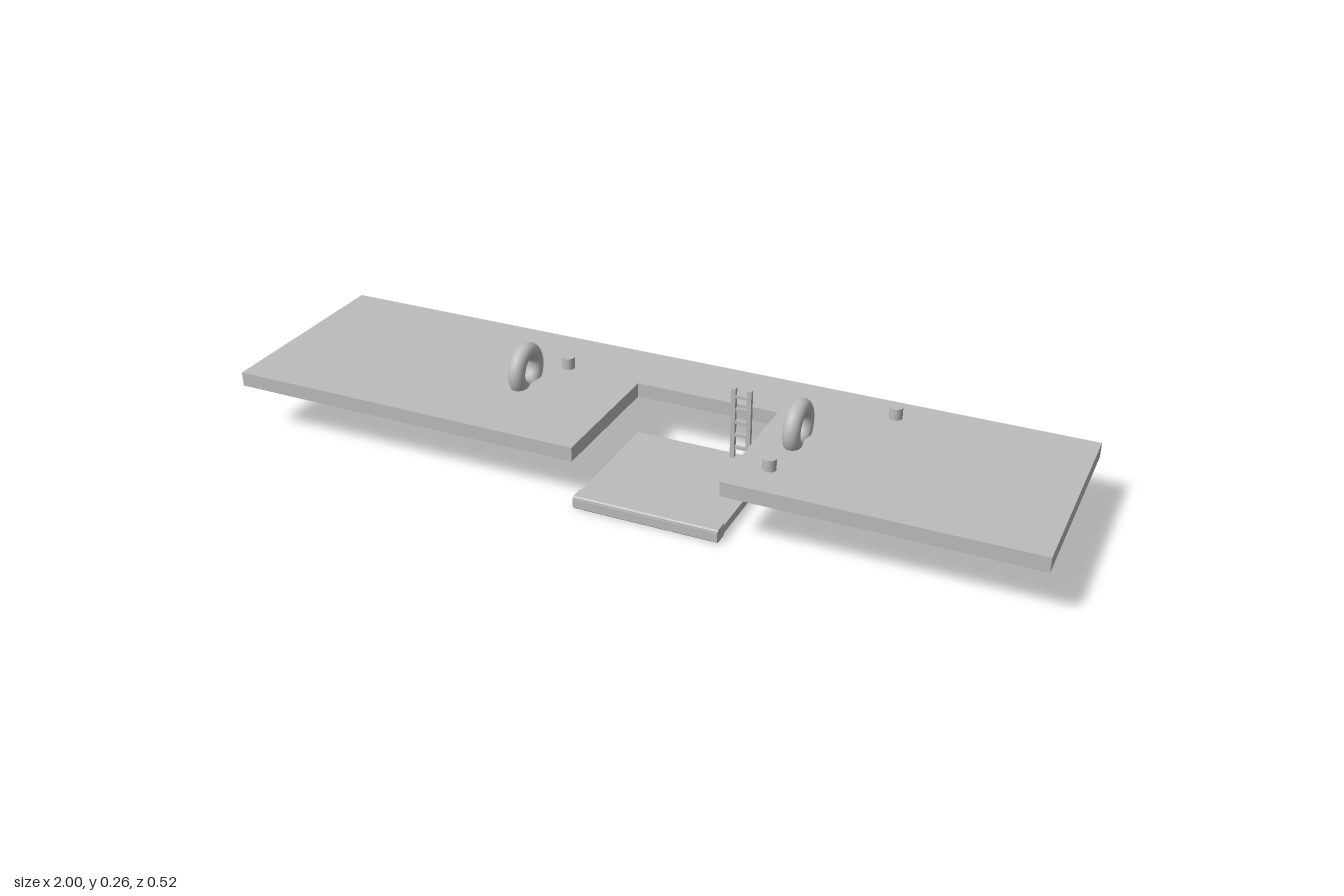
import * as THREE from 'three';

export function createModel() {
  const root = new THREE.Group();
  const grey = new THREE.MeshStandardMaterial({ color: 0xbcbcbc });
  grey.name = 'dock grey';

  const add = (name, geometry, x = 0, y = 0, z = 0, parent = root) => {
    const mesh = new THREE.Mesh(geometry, grey);
    mesh.name = name;
    mesh.position.set(x, y, z);
    parent.add(mesh);
    return mesh;
  };
  const polygon = (points) => new THREE.Shape(points.map(([x, y]) => new THREE.Vector2(x, y)));
  const extrude = (points, depth) =>
    new THREE.ExtrudeGeometry(polygon(points), { depth, bevelEnabled: false });

  // Main deck with a notch in its front edge (plan drawn as x, -z)
  const notch = { left: -0.085, right: 0.278, back: 0.093 };
  const deck = extrude([
    [-1, -0.262], [notch.left, -0.262], [notch.left, notch.back], [notch.right, notch.back],
    [notch.right, -0.262], [1, -0.262], [1, 0.262], [-1, 0.262],
  ], 0.036);
  deck.rotateX(-Math.PI / 2);
  add('deck', deck, 0, 0.125, 0);

  // Lower landing platform with a bevelled bumper along its front
  const width = 0.36, centre = 0.095;
  add('lowerPlatform', new THREE.BoxGeometry(width, 0.021, 0.354), centre, 0.0165, 0.0855);
  const a = 0.019, b = 0.0165, c = 0.003;
  const bumper = extrude([
    [-a + c, -b], [a - c, -b], [a, -b + c], [a, b - c],
    [a - c, b], [-a + c, b], [-a, b - c], [-a, -b + c],
  ], width);
  bumper.translate(0, 0, -width / 2).rotateY(Math.PI / 2);
  add('platformBumper', bumper, centre, 0.0165, 0.241);

  // Ladder from the platform up past the deck
  const ladder = new THREE.Group();
  ladder.name = 'ladder';
  ladder.position.set(0.194, 0, -0.075);
  root.add(ladder);
  for (const side of [-1, 1]) {
    add('ladderRail', new THREE.BoxGeometry(0.011, 0.185, 0.011), side * 0.02, 0.1195, 0, ladder);
  }
  for (let i = 0; i < 5; i++) {
    add('ladderRung', new THREE.BoxGeometry(0.03, 0.008, 0.008), 0, 0.055 + i * 0.034, 0, ladder);
  }

  // Upright tyres sunk into the deck
  for (const x of [-0.338, 0.366]) {
    add('tyre', new THREE.TorusGeometry(0.0465, 0.0205, 24, 48), x, 0.194, 0.01).rotation.y = Math.PI / 2;
  }

  // Mooring posts
  for (const [x, z] of [[-0.28, -0.102], [0.538, -0.184], [0.356, 0.165]]) {
    add('mooringPost', new THREE.CylinderGeometry(0.016, 0.016, 0.05, 32), x, 0.165, z);
  }

  return root;
}
